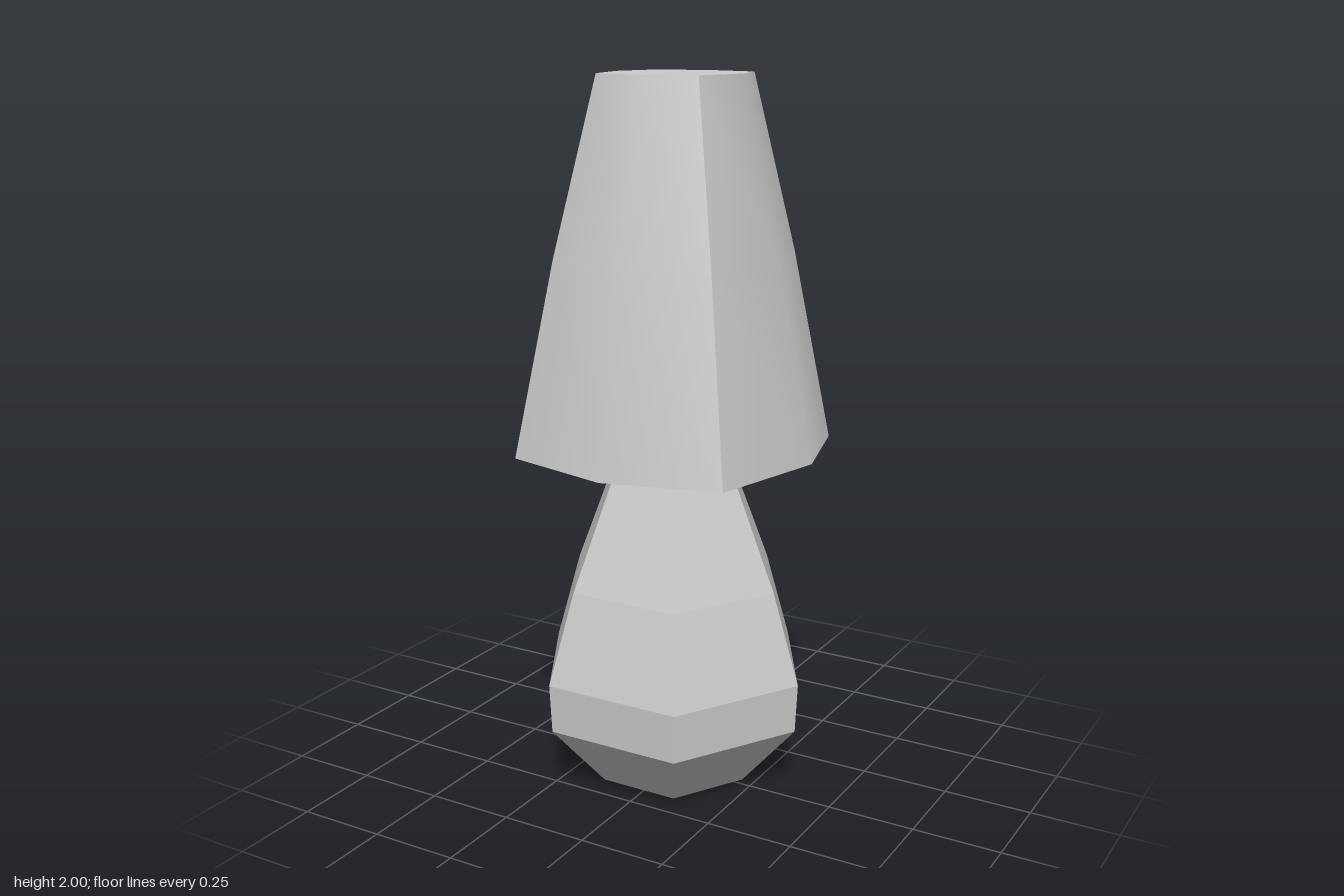
import * as THREE from 'three';
import { toCreasedNormals } from 'three/addons/utils/BufferGeometryUtils.js';

// Faceted solid of revolution from [radius, y] pairs, bottom to top, first corner on +x
function lathe(profile, sides) {
  return new THREE.LatheGeometry(profile.map(([r, y]) => new THREE.Vector2(r, y)), sides, Math.PI / 2);
}

// Six-sided bulbous base, running up into the shade
function makeBase() {
  const profile = [[0, 0], [0.23, 0.01], [0.393, 0.2], [0.4, 0.34], [0.32, 0.6], [0.157, 1.0], [0, 1.0]];
  const mesh = new THREE.Mesh(
    lathe(profile, 6),
    new THREE.MeshStandardMaterial({ color: 0xcccccc, flatShading: true })
  );
  mesh.name = 'base';
  mesh.position.set(-0.008, 0, -0.008);
  return mesh;
}

// Closed shade: a square plan whose four sides each bow out at the middle
function makeShade() {
  const geometry = lathe([[0, 0.98], [0.403, 0.98], [0.301, 1.52], [0.192, 2], [0, 2]], 8);
  const p = geometry.attributes.position;
  for (let i = 0; i < p.count; i++) {
    const x = p.getX(i), z = p.getZ(i);
    if (Math.abs(x * z) > 1e-4) {
      // push the corners outward
      p.setX(i, x * 1.125);
      p.setZ(i, z * 1.125);
    } else if (Math.abs(x) > 1e-4) {
      // side ridges lean slightly to the back
      p.setZ(i, z - 0.075 * Math.abs(x));
    }
  }
  // keep the four corners and rims crisp, the bowed sides smooth
  const mesh = new THREE.Mesh(
    toCreasedNormals(geometry, 0.7),
    new THREE.MeshStandardMaterial({ color: 0xcccccc })
  );
  mesh.name = 'shade';
  mesh.position.x = 0.005;
  return mesh;
}

export function createModel() {
  const group = new THREE.Group();
  group.name = 'tableLamp';
  group.add(makeBase(), makeShade());
  return group;
}
